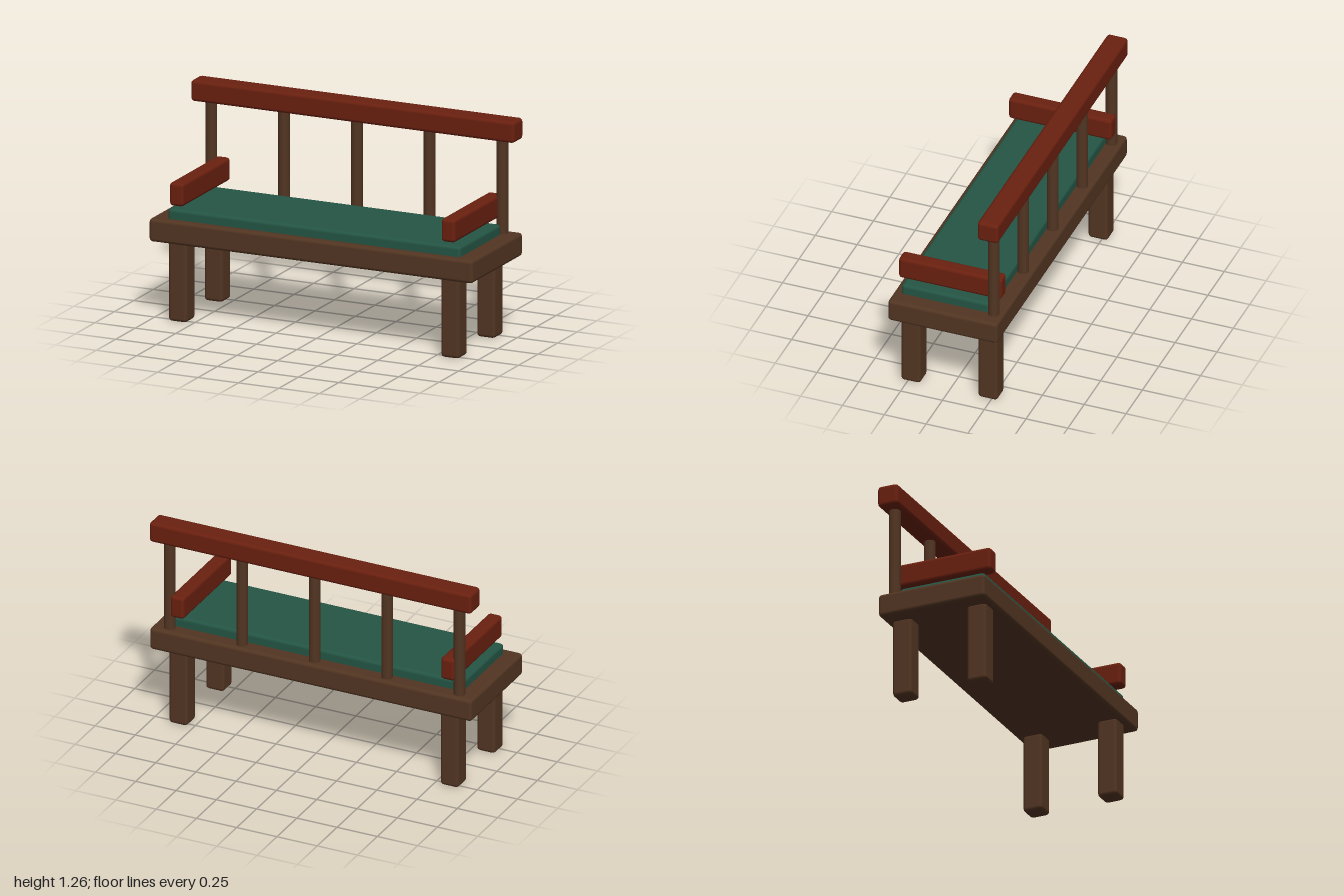
import * as THREE from 'three';
import { RoundedBoxGeometry } from 'three/addons/geometries/RoundedBoxGeometry.js';

export function createModel() {
  const bench = new THREE.Group();
  bench.name = 'bench';

  const material = (name, color) => {
    const m = new THREE.MeshStandardMaterial({ color });
    m.name = name;
    return m;
  };
  const brownWood = material('brownWood', 0x523522);
  const redWood = material('redWood', 0x6a200f);
  const greenFabric = material('greenFabric', 0x245544);

  function add(name, geometry, mat, x, y, z) {
    const mesh = new THREE.Mesh(geometry, mat);
    mesh.name = name;
    mesh.position.set(x, y, z);
    bench.add(mesh);
  }
  const softBox = (w, h, d, r = 0.02) => new RoundedBoxGeometry(w, h, d, 2, r);

  // Seat frame and cushion
  add('seat', softBox(2, 0.134, 0.655), brownWood, 0, 0.524, 0.002);
  add('cushion', softBox(1.81, 0.08, 0.525), greenFabric, 0, 0.61, 0.023);

  // Legs and armrests, mirrored
  const leg = softBox(0.114, 0.47, 0.117);
  const armrest = softBox(0.086, 0.135, 0.616);
  for (const [side, s] of [['left', 1], ['right', -1]]) {
    add(side + 'FrontLeg', leg, brownWood, s * 0.842, 0.235, 0.232);
    add(side + 'BackLeg', leg, brownWood, s * 0.842, 0.235, -0.228);
    add(side + 'Armrest', armrest, redWood, s * 0.84, 0.742, 0.003);
  }

  // Back spindles
  const spindle = new THREE.CylinderGeometry(0.033, 0.033, 0.6, 16);
  for (let i = -2; i <= 2; i++) {
    add('backSpindle' + (i + 3), spindle, brownWood, i * 0.45, 0.86, -0.268);
  }

  // Top rail
  add('topRail', softBox(2, 0.123, 0.125), redWood, 0, 1.194, -0.268);

  return bench;
}
